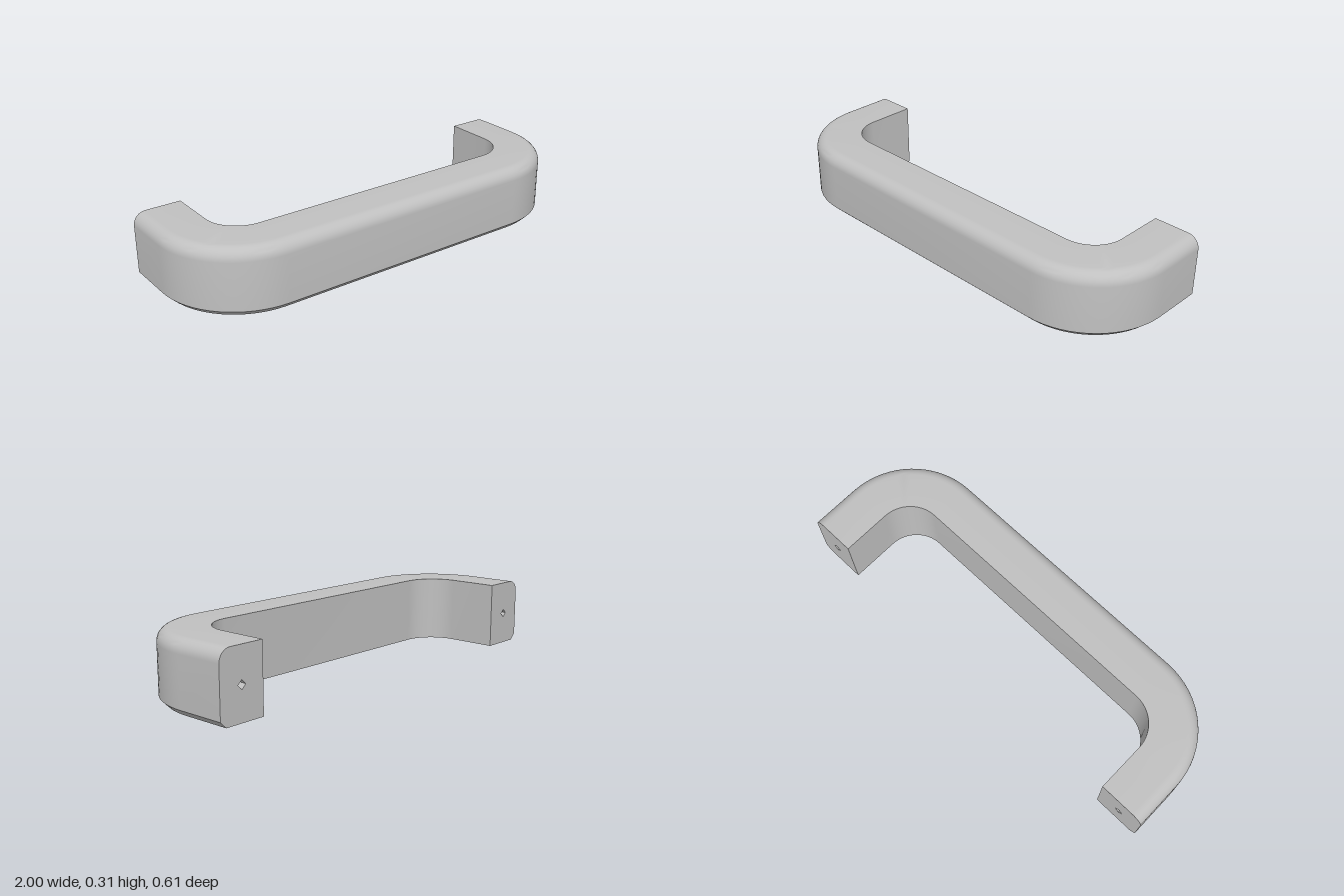
import * as THREE from 'three';
import { toCreasedNormals } from 'three/addons/utils/BufferGeometryUtils.js';

const CX = 0.62, CZ = -0.075;      // centre of each corner bend
const BACK = -0.305, H = 0.305;    // mounting plane and height
const R_IN = 0.16, R_OUT = 0.38;   // inner and outer bend radius
const HOLE_Y = 0.15, HOLE_R = 0.02, HOLE_DEPTH = 0.15;

// Cross-section: chamfered outer bottom edge, rounded outer top edge
function makeProfile() {
  const chamfer = 0.028, fillet = 0.056, pts = [];
  pts.push([R_IN, 0], [R_OUT - chamfer, 0], [R_OUT, chamfer]);
  for (let i = 0; i <= 8; i++) {
    const a = (i / 8) * Math.PI / 2;
    pts.push([R_OUT - fillet + fillet * Math.cos(a), H - fillet + fillet * Math.sin(a)]);
  }
  pts.push([R_IN, H]);
  return pts;
}

// Stations along the U: leg, bend, straight grip, bend, leg
function makeStations() {
  const steps = 16, list = [[CX, BACK, 0]];
  for (const side of [1, -1]) {
    for (let i = 0; i <= steps; i++) {
      const a = (i / steps) * Math.PI / 2;
      list.push([side * CX, CZ, side > 0 ? a : Math.PI / 2 + a]);
    }
  }
  list.push([-CX, BACK, Math.PI]);
  return list;
}

function sweep(profile, stations) {
  const n = profile.length, pos = [], index = [];
  for (const [x, z, a] of stations) {
    for (const [r, y] of profile) pos.push(x + r * Math.cos(a), y, z + r * Math.sin(a));
  }
  for (let s = 0; s < stations.length - 1; s++) {
    for (let i = 0; i < n; i++) {
      const a = s * n + i, b = s * n + (i + 1) % n;
      index.push(a, b, a + n, b, b + n, a + n);
    }
  }
  const g = new THREE.BufferGeometry();
  g.setAttribute('position', new THREE.Float32BufferAttribute(pos, 3));
  g.setIndex(index);
  return toCreasedNormals(g, 0.5);
}

export function createModel() {
  const group = new THREE.Group();
  group.name = 'pullHandle';
  const metal = new THREE.MeshStandardMaterial({ color: 0xc0c0c0 });
  metal.name = 'greyMetal';
  const add = (name, geometry) => {
    const mesh = new THREE.Mesh(geometry, metal);
    mesh.name = name;
    group.add(mesh);
  };

  const profile = makeProfile();
  add('grip', sweep(profile, makeStations()));

  // Mounting faces with a small four-sided screw hole in each
  for (const side of [1, -1]) {
    const label = side > 0 ? 'left' : 'right';
    const holeX = side * (CX + (R_IN + R_OUT) / 2);

    const face = new THREE.Shape(profile.map(([r, y]) => new THREE.Vector2(-side * (CX + r), y)));
    const rim = [0, 1, 2, 3].map((i) => new THREE.Vector2(
      -holeX + HOLE_R * Math.cos(i * Math.PI / 2), HOLE_Y + HOLE_R * Math.sin(i * Math.PI / 2)));
    face.holes.push(new THREE.Path(rim));
    add(label + 'MountingFace', new THREE.ShapeGeometry(face).rotateY(Math.PI).translate(0, 0, BACK));

    // Hole walls face inwards
    const walls = new THREE.CylinderGeometry(HOLE_R, HOLE_R, HOLE_DEPTH, 4, 1, true).toNonIndexed();
    walls.rotateX(Math.PI / 2);
    walls.scale(-1, 1, 1);
    const p = walls.attributes.position;
    // Mirroring reverses the corner order, so the normals are rebuilt from it
    p.needsUpdate = true;
    walls.computeVertexNormals();
    walls.translate(holeX, HOLE_Y, BACK + HOLE_DEPTH / 2);
    add(label + 'ScrewHole', walls);

    const floor = new THREE.CircleGeometry(HOLE_R, 4).rotateY(Math.PI);
    add(label + 'ScrewHoleFloor', floor.translate(holeX, HOLE_Y, BACK + HOLE_DEPTH));
  }
  return group;
}
